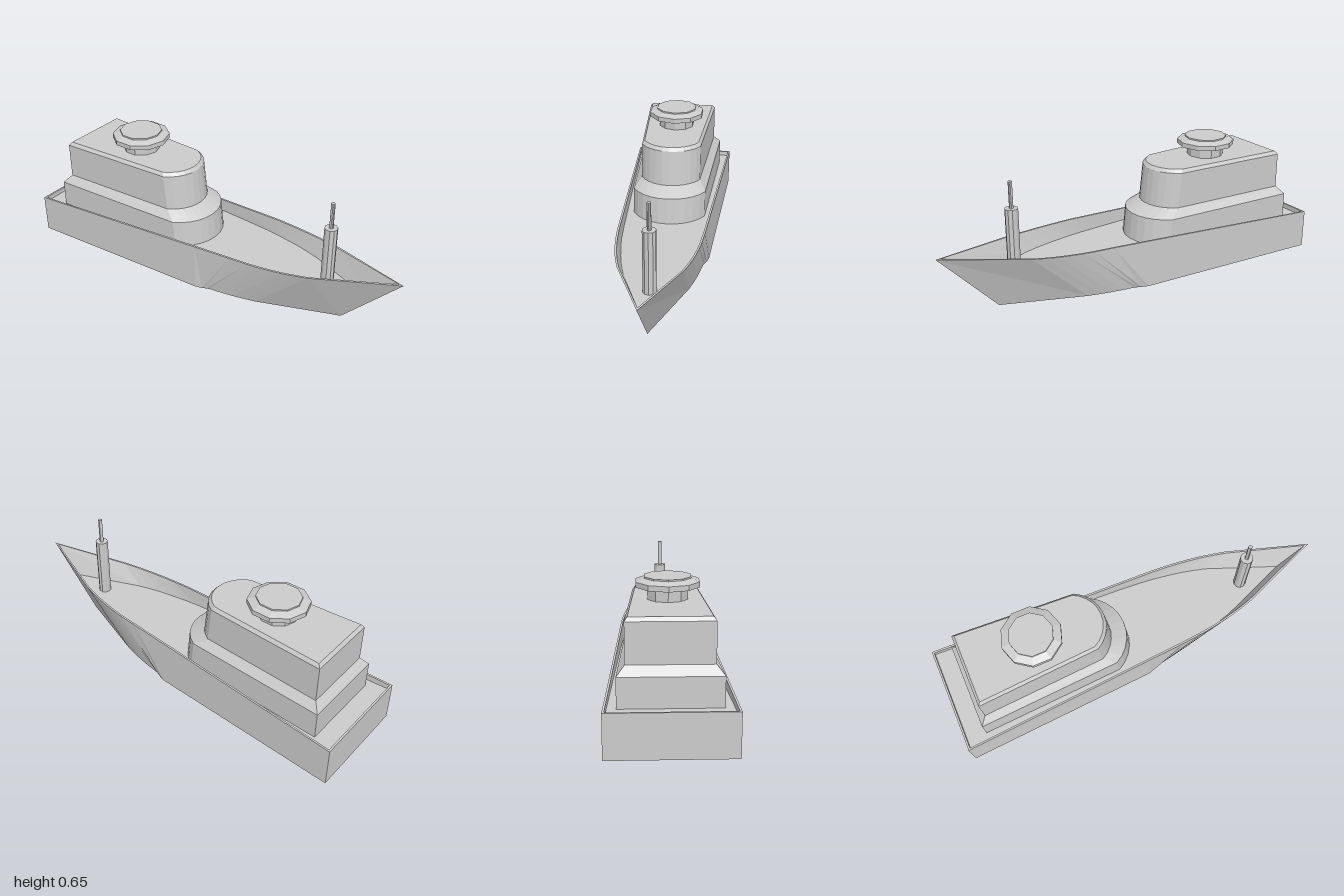
import * as THREE from 'three';

const material = new THREE.MeshStandardMaterial({ color: 0xcccccc, flatShading: true });

// Skins a stack of equal-length rings (Vector3 lists), optionally capping the first and last.
function loft(name, rings, capBottom, capTop) {
  const pos = [];
  const tri = (...pts) => pts.forEach((p) => pos.push(p.x, p.y, p.z));
  const cap = (ring, up) => {
    const mid = new THREE.Vector3();
    ring.forEach((p) => mid.addScaledVector(p, 1 / ring.length));
    ring.forEach((p, i) => {
      const q = ring[(i + 1) % ring.length];
      if (up) tri(mid, q, p);
      else tri(mid, p, q);
    });
  };
  for (let r = 0; r + 1 < rings.length; r++) {
    const lo = rings[r], hi = rings[r + 1];
    lo.forEach((a, i) => {
      const j = (i + 1) % lo.length;
      tri(a, hi[j], lo[j]);
      tri(a, hi[i], hi[j]);
    });
  }
  if (capBottom) cap(rings[0], false);
  if (capTop) cap(rings[rings.length - 1], true);
  const geo = new THREE.BufferGeometry();
  geo.setAttribute('position', new THREE.Float32BufferAttribute(pos, 3));
  geo.computeVertexNormals();
  const mesh = new THREE.Mesh(geo, material);
  mesh.name = name;
  return mesh;
}

// Mirrors a half outline (stern to bow tip on +x) into a full ring.
const mirror = (half) => [
  ...half,
  ...half.slice(0, -1).reverse().map((p) => new THREE.Vector3(-p.x, p.y, p.z)),
];

// Hull stations along the rail: [z, half width]
const stations = [
  [-1, 0.277], [0, 0.225], [0.2, 0.215], [0.3, 0.207], [0.36, 0.2], [0.42, 0.191],
  [0.48, 0.18], [0.54, 0.166], [0.6, 0.15], [1, 0],
];
const deckY = 0.175, wall = 0.01;

const railPoint = ([z, w]) => {
  const y = z <= 0.2 ? 0.2 + 0.05 * (z + 1) : 0.26 + 0.062 * (1 - w / 0.215);
  return new THREE.Vector3(w, y, z);
};
// The bow rakes back towards the keel.
const keelPoint = ([z, w]) => {
  const kz = z - 0.29 * THREE.MathUtils.clamp(z / 0.35, 0, 1);
  return new THREE.Vector3(w, 0.006 * (kz + 1), kz);
};
const inset = (p, i) => {
  const tip = i === stations.length - 1;
  p.x = Math.max(0, p.x - wall);
  if (i === 0) p.z += wall;
  if (tip) p.z -= wall * 2.2;
  return p;
};
const deckPoint = (s) => {
  const k = keelPoint(s), r = railPoint(s);
  return k.lerp(r, (deckY - k.y) / (r.y - k.y));
};

// Cabin outline: straight tapering sides, square back and an arched front.
function cabinRing([y, backW, frontW, backZ, sideZ, frontZ]) {
  const h = frontZ - sideZ;
  const radius = (frontW * frontW + h * h) / (2 * h);
  const sweep = Math.asin(Math.min(1, frontW / radius));
  const half = [new THREE.Vector3(backW, y, backZ)];
  for (let i = 0; i <= 5; i++) {
    const a = sweep * (1 - i / 5);
    half.push(new THREE.Vector3(radius * Math.sin(a), y, frontZ - radius * (1 - Math.cos(a))));
  }
  return mirror(half);
}

// Ten-sided upright drum
function drum(name, rTop, rBottom, y0, y1, z) {
  const mesh = new THREE.Mesh(new THREE.CylinderGeometry(rTop, rBottom, y1 - y0, 10), material);
  mesh.position.set(0, (y0 + y1) / 2, z);
  mesh.name = name;
  return mesh;
}

export function createModel() {
  const ship = new THREE.Group();
  ship.name = 'ship';

  // Hull with bulwark and sunken deck
  const hullRings = [
    mirror(stations.map(keelPoint)),
    mirror(stations.map(railPoint)),
    mirror(stations.map((s, i) => inset(railPoint(s), i))),
    mirror(stations.map((s, i) => inset(deckPoint(s), i))),
  ];
  ship.add(loft('hull', hullRings, true, false));
  ship.add(loft('deck', [hullRings[3]], false, true));

  // Lower and upper cabin: [y, back half width, front half width, back z, side end z, front z]
  const lower = [
    [deckY, 0.222, 0.187, -0.89, -0.152, -0.036],
    [0.31, 0.222, 0.187, -0.89, -0.165, -0.05],
    [0.35, 0.187, 0.153, -0.855, -0.225, -0.13],
  ];
  const upper = [
    lower[2],
    [0.53, 0.187, 0.153, -0.855, -0.244, -0.15],
    [0.547, 0.174, 0.141, -0.842, -0.255, -0.165],
  ];
  ship.add(loft('lowerCabin', lower.map(cabinRing), true, false));
  ship.add(loft('upperCabin', upper.map(cabinRing), false, true));

  // Roof turret
  const turret = new THREE.Group();
  turret.name = 'turret';
  const tz = -0.51;
  turret.add(drum('turretNeck', 0.093, 0.093, 0.545, 0.603, tz));
  turret.add(drum('turretRim', 0.146, 0.146, 0.603, 0.627, tz));
  turret.add(drum('turretBevel', 0.107, 0.146, 0.627, 0.641, tz));
  turret.add(drum('turretTop', 0.107, 0.107, 0.641, 0.648, tz));
  ship.add(turret);

  // Bow mast
  const mast = new THREE.Group();
  mast.name = 'mast';
  mast.add(drum('mastBase', 0.032, 0.032, deckY, 0.485, 0.62));
  mast.add(drum('mastPole', 0.01, 0.01, 0.485, 0.616, 0.62));
  ship.add(mast);

  return ship;
}
